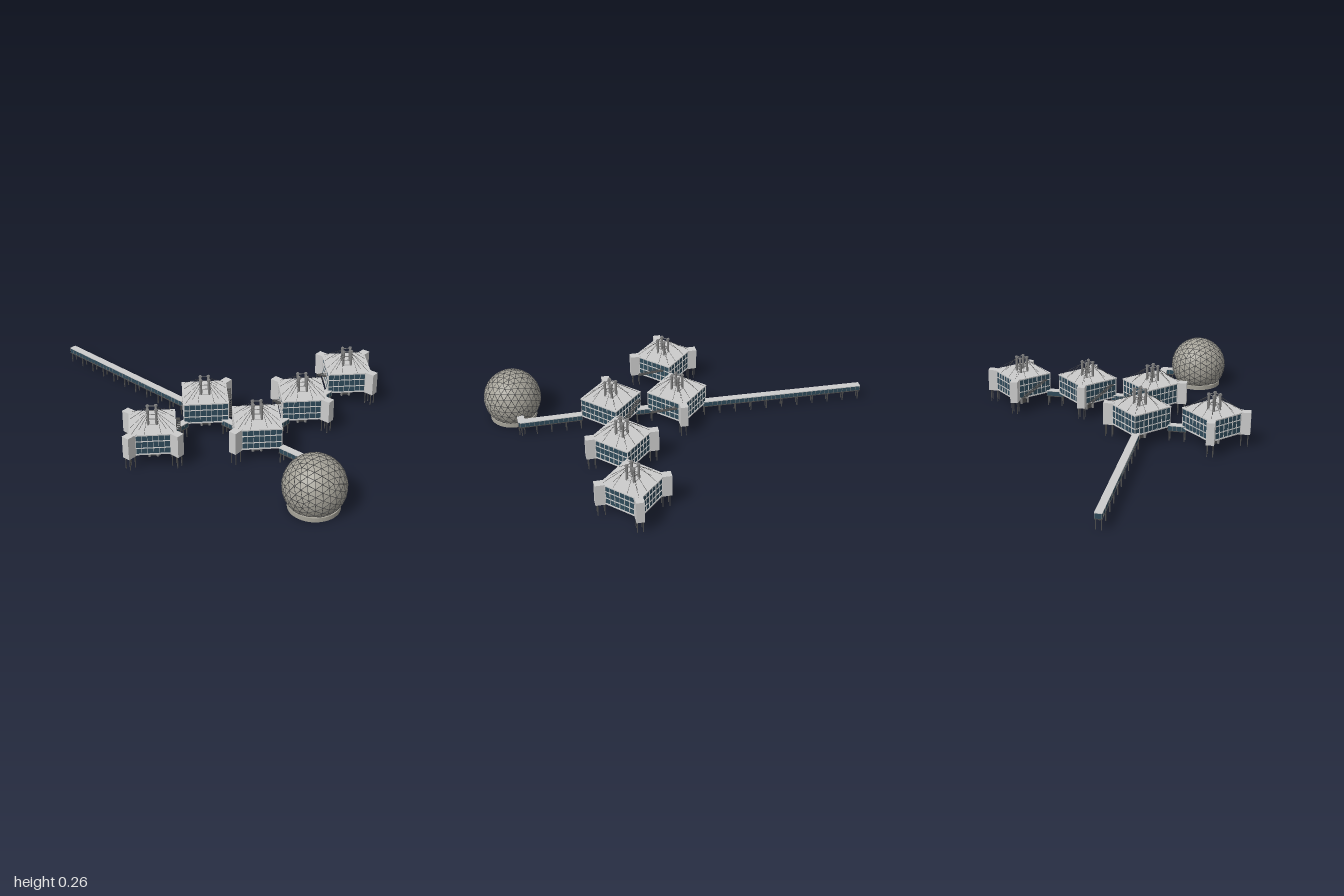
import * as THREE from 'three';
import { mergeGeometries } from 'three/addons/utils/BufferGeometryUtils.js';

const mat = (color, extra = {}) => new THREE.MeshStandardMaterial({ color, ...extra });
const GREY = mat(0xcccccc);
const GLASS = mat(0x2e4a5a);
const DARK = mat(0x4c4c4c);
const STEEL = mat(0x808080);
const PANEL = mat(0xa5a298, { flatShading: true });

// Box geometry placed at its centre, optionally turned about y
function box(w, h, d, x, y, z, turn = 0) {
  return new THREE.BoxGeometry(w, h, d).rotateY(turn).translate(x, y, z);
}

// Thin bar between two points
function bar(a, b, r, sides = 4) {
  const dir = b.clone().sub(a);
  const q = new THREE.Quaternion().setFromUnitVectors(new THREE.Vector3(0, 1, 0), dir.clone().normalize());
  const mid = a.clone().add(b).multiplyScalar(0.5);
  return new THREE.CylinderGeometry(r, r, dir.length(), sides, 1).applyQuaternion(q).translate(mid.x, mid.y, mid.z);
}

function add(group, name, parts, material) {
  const mesh = new THREE.Mesh(Array.isArray(parts) ? mergeGeometries(parts) : parts, material);
  mesh.name = name;
  group.add(mesh);
  return mesh;
}

const V = (x, y, z) => new THREE.Vector3(x, y, z);
const HALF = 0.112, FLOOR = 0.07, ROOF = 0.18;

// Raised square pavilion; corners lists the [sx, sz] corners that carry towers
function pavilion(x, z, corners, stairTurn) {
  const g = new THREE.Group();
  g.name = 'pavilion';
  const s = HALF * 2;
  add(g, 'glassWalls', box(s - 0.008, ROOF - FLOOR - 0.008, s - 0.008, 0, (ROOF + FLOOR) / 2, 0), GLASS);
  add(g, 'floorAndRoof', [
    box(s, 0.006, s, 0, FLOOR + 0.003, 0),
    box(s, 0.006, s, 0, ROOF - 0.003, 0),
    box(0.05, 0.006, 0.05, 0, ROOF + 0.003, 0),
  ], GREY);

  // Window grid on the four sides
  const grid = [];
  for (let k = 0; k < 4; k++) {
    const side = [];
    for (let i = 0; i <= 8; i++) {
      side.push(box(0.002, ROOF - FLOOR - 0.01, 0.004, -0.108 + i * 0.027, (ROOF + FLOOR) / 2, HALF - 0.003));
    }
    for (let j = 1; j < 3; j++) {
      side.push(box(s - 0.004, 0.004, 0.004, 0, FLOOR + j * (ROOF - FLOOR) / 3, HALF - 0.003));
    }
    side.forEach(p => grid.push(p.rotateY(k * Math.PI / 2)));
  }
  add(g, 'windowGrid', grid, GREY);

  // Corner towers on thin legs
  const towers = [], legs = [];
  for (const [sx, sz] of corners) {
    const turn = Math.atan2(sx, sz);
    towers.push(box(0.04, ROOF - 0.064, 0.056, 0, (ROOF + 0.066) / 2, 0.155).rotateY(turn));
    for (const lx of [-0.014, 0.014]) {
      for (const lz of [0.138, 0.172]) legs.push(box(0.004, 0.068, 0.004, lx, 0.034, lz).rotateY(turn));
    }
  }
  add(g, 'cornerTowers', towers, GREY);
  add(g, 'cornerLegs', legs, DARK);

  // Four masts through the middle, tied at the top, with cables to the roof edge
  const masts = [], ties = [], cables = [];
  for (const sx of [-1, 1]) {
    for (const sz of [-1, 1]) {
      masts.push(new THREE.CylinderGeometry(0.0065, 0.0065, 0.265, 10).translate(sx * 0.02, 0.1325, sz * 0.02));
      masts.push(new THREE.CylinderGeometry(0.009, 0.009, 0.005, 10).translate(sx * 0.02, 0.259, sz * 0.02));
      const top = V(sx * 0.02, 0.25, sz * 0.02), mid = V(sx * 0.02, 0.235, sz * 0.02);
      cables.push(bar(top, V(sx * 0.1, ROOF, sz * 0.1), 0.0009));
      cables.push(bar(top, V(sx * 0.04, ROOF, sz * 0.105), 0.0009));
      cables.push(bar(top, V(sx * 0.105, ROOF, sz * 0.04), 0.0009));
      cables.push(bar(mid, V(sx * 0.065, ROOF, sz * 0.065), 0.0009));
    }
    for (const y of [0.21, 0.258]) {
      ties.push(box(0.04, 0.003, 0.003, 0, y, sx * 0.02), box(0.003, 0.003, 0.04, sx * 0.02, y, 0));
    }
  }
  add(g, 'masts', masts, STEEL);
  add(g, 'mastTies', ties, STEEL);
  add(g, 'cables', cables, DARK);
  add(g, 'serviceCore', box(0.03, FLOOR, 0.03, 0, FLOOR / 2, 0), DARK);

  // Outside stair along one wall
  const stair = [];
  const n = 14, len = 0.13;
  for (let i = 0; i < n; i++) {
    const t = i / (n - 1) - 0.5;
    stair.push(box(0.008, 0.003, 0.018, t * len, 0.115 + t * 0.07, HALF + 0.012));
  }
  for (const zz of [HALF + 0.003, HALF + 0.021]) {
    stair.push(bar(V(-len / 2, 0.078, zz), V(len / 2, 0.148, zz), 0.002));
    stair.push(bar(V(-len / 2, 0.09, zz), V(len / 2, 0.16, zz), 0.0012));
  }
  stair.push(box(0.018, 0.003, 0.02, len / 2 + 0.004, 0.15, HALF + 0.012));
  stair.push(box(0.018, 0.003, 0.02, -len / 2 - 0.004, 0.078, HALF + 0.012));
  add(g, 'outsideStair', stair, DARK).rotation.y = stairTurn;

  g.position.set(x, 0, z);
  g.rotation.y = THREE.MathUtils.degToRad(-31);
  return g;
}

// Glazed bridge on pairs of legs between two plan points
function bridge(x0, z0, x1, z1) {
  const g = new THREE.Group();
  g.name = 'bridge';
  const len = Math.hypot(x1 - x0, z1 - z0), w = 0.036;
  add(g, 'bridgeGlass', box(w - 0.004, 0.026, len - 0.002, 0, 0.067, 0), GLASS);
  add(g, 'bridgeRoof', box(w, 0.004, len, 0, 0.081, 0), GREY);
  add(g, 'bridgeFloor', box(w, 0.004, len, 0, 0.053, 0), DARK);
  const posts = [], legs = [];
  const n = Math.max(2, Math.round(len / 0.025));
  for (let i = 0; i <= n; i++) {
    const z = (i / n - 0.5) * (len - 0.003);
    for (const s of [-1, 1]) posts.push(box(0.002, 0.026, 0.002, s * (w / 2 - 0.002), 0.067, z));
  }
  const m = Math.max(1, Math.round(len / 0.083));
  for (let i = 0; i <= m; i++) {
    const z = (i / m - 0.5) * (len - 0.016);
    for (const s of [-1, 1]) legs.push(box(0.005, 0.053, 0.005, s * 0.013, 0.0265, z));
  }
  add(g, 'bridgePosts', posts, STEEL);
  add(g, 'bridgeLegs', legs, DARK);
  g.position.set((x0 + x1) / 2, 0, (z0 + z1) / 2);
  g.rotation.y = Math.atan2(x1 - x0, z1 - z0);
  return g;
}

// Geodesic dome: flat panels, a strut on every edge, and a round base
function dome(x, z) {
  const g = new THREE.Group();
  g.name = 'dome';
  const R = 0.148, cy = 0.113, cut = 0.018 - cy;
  const src = new THREE.IcosahedronGeometry(R, 4).getAttribute('position');
  const seen = new Set(), struts = [], kept = [];
  const key = p => p.toArray().map(c => Math.round(c * 1e4)).join();
  for (let i = 0; i < src.count; i += 3) {
    const tri = [0, 1, 2].map(k => new THREE.Vector3().fromBufferAttribute(src, i + k));
    if (tri.every(p => p.y < cut)) continue;
    tri.forEach(p => { p.y = Math.max(p.y, cut); });
    tri.forEach(p => kept.push(...p.toArray()));
    for (let k = 0; k < 3; k++) {
      const a = tri[k], b = tri[(k + 1) % 3];
      const id = [key(a), key(b)].sort().join('|');
      if (seen.has(id) || a.distanceTo(b) < 0.002) continue;
      seen.add(id);
      struts.push(bar(a, b, 0.0016));
    }
  }
  const skin = new THREE.BufferGeometry();
  skin.setAttribute('position', new THREE.Float32BufferAttribute(kept, 3));
  skin.computeVertexNormals();
  add(g, 'domePanels', skin, PANEL).position.y = cy;
  add(g, 'domeStruts', struts, DARK).position.y = cy;
  add(g, 'domeBase', new THREE.CylinderGeometry(0.122, 0.122, 0.022, 48).translate(0, 0.011, 0), PANEL);
  g.position.set(x, 0, z);
  return g;
}

export function createModel() {
  const model = new THREE.Group();
  model.name = 'waterfrontPavilions';
  const back = [-1, -1], right = [1, -1], front = [1, 1], left = [-1, 1];
  const q = Math.PI / 2;
  model.add(
    pavilion(-0.565, 0.07, [back, left, front], q),
    pavilion(-0.205, -0.015, [right], q),
    pavilion(-0.135, 0.325, [left], Math.PI),
    pavilion(0.205, 0.245, [back, front], -q),
    pavilion(0.56, 0.17, [back, right, front], -q),
  );
  // Bridges: far approach, pavilion links, then the bent walk to the dome
  const runs = [
    [-0.243, -0.15, -0.426, -0.995],
    [-0.435, 0.04, -0.345, 0.022],
    [-0.18, 0.11, -0.16, 0.2],
    [-0.01, 0.305, 0.08, 0.285],
    [0.335, 0.222, 0.425, 0.203],
    [-0.103, 0.475, -0.024, 0.79],
    [-0.018, 0.778, -0.08, 0.795],
  ];
  runs.forEach(r => model.add(bridge(...r)));
  model.add(dome(-0.205, 0.85));
  return model;
}
